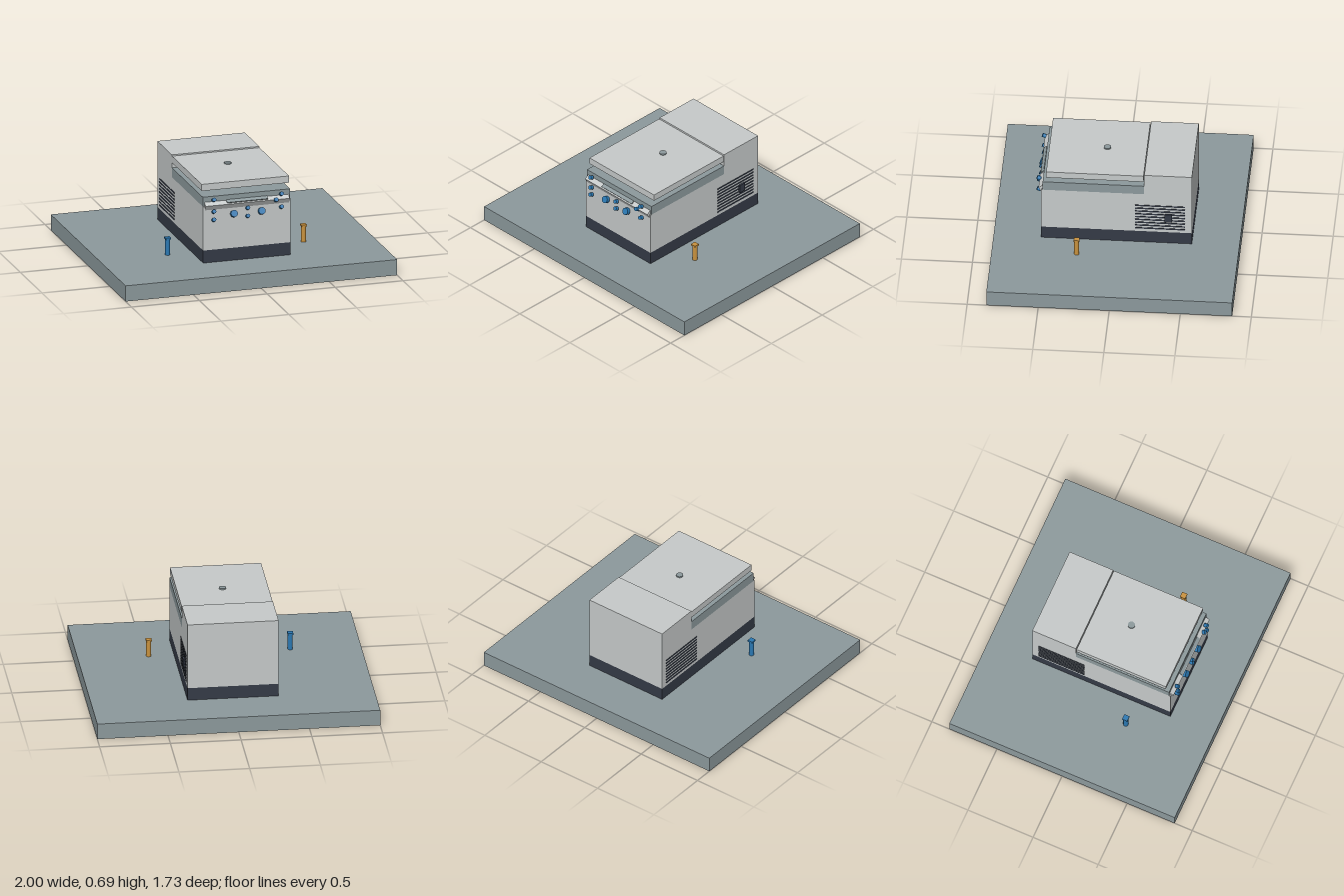
import * as THREE from 'three';

const mat = (name, color, side = THREE.FrontSide) => {
  const m = new THREE.MeshStandardMaterial({ color, side });
  m.name = name;
  return m;
};

export function createModel() {
  const model = new THREE.Group();
  model.name = 'benchInstrument';
  const light = mat('lightGrey', 0xc6caca);
  const slate = mat('slateGrey', 0x8c999c);
  const dark = mat('charcoal', 0x343a46);
  const blue = mat('blue', 0x2a78b2);
  const amber = mat('amber', 0xc9923e);

  const add = (name, geo, material, x = 0, y = 0, z = 0, parent = model) => {
    const mesh = new THREE.Mesh(geo, material);
    mesh.name = name;
    mesh.position.set(x, y, z);
    parent.add(mesh);
    return mesh;
  };
  // Box given by its limits on each axis
  const block = (name, material, [x0, x1], [y0, y1], [z0, z1], parent) =>
    add(name, new THREE.BoxGeometry(x1 - x0, y1 - y0, z1 - z0), material,
      (x0 + x1) / 2, (y0 + y1) / 2, (z0 + z1) / 2, parent);

  // Bench and housing
  const W = [-0.322, 0.322];
  block('benchTop', slate, [-1, 1], [0, 0.115], [-0.865, 0.865]);
  block('plinth', dark, W, [0.115, 0.207], [-0.53, 0.53]);
  block('housing', light, W, [0.207, 0.528], [-0.195, 0.53]);
  block('rearTower', light, W, [0.207, 0.692], [-0.53, -0.195]);
  block('chamberRim', slate, W, [0.528, 0.597], [-0.195, 0.52]);
  block('lid', light, W, [0.635, 0.684], [-0.19, 0.495]);
  add('lidButton', new THREE.CylinderGeometry(0.025, 0.025, 0.01, 24), slate, 0, 0.688, 0.088);
  add('rotorHub', new THREE.CylinderGeometry(0.028, 0.028, 0.034, 24), amber, 0, 0.613, 0.058);

  // Sloping console ledge: profile (z, y) extruded across the front
  const profile = new THREE.Shape([
    [0.515, 0.562], [0.515, 0.5], [0.529, 0.5], [0.55, 0.537],
  ].map(([z, y]) => new THREE.Vector2(-z, y)));
  const ledge = new THREE.ExtrudeGeometry(profile, { depth: 0.62, bevelEnabled: false });
  ledge.translate(0, 0, -0.31).rotateY(Math.PI / 2);
  add('consoleLedge', ledge, light);
  const display = add('display', new THREE.BoxGeometry(0.3, 0.008, 0.026), slate, 0, 0.554, 0.534);
  display.rotation.x = Math.atan2(0.025, 0.035);

  // Control knobs, tipped upward
  const knobs = new THREE.Group();
  knobs.name = 'controlKnobs';
  model.add(knobs);
  for (const [x, y, r] of [
    [-0.25, 0.58, 0.014], [-0.25, 0.494, 0.014], [-0.25, 0.434, 0.014],
    [-0.102, 0.465, 0.025], [0.102, 0.465, 0.025],
    [0, 0.497, 0.014], [0, 0.438, 0.014],
    [0.208, 0.537, 0.015], [0.248, 0.577, 0.014], [0.248, 0.482, 0.014],
  ]) {
    const knob = add('knob', new THREE.CylinderGeometry(r, r, 0.026, 20), blue, x, y, 0.552, knobs);
    knob.rotation.x = Math.PI / 2 - 0.42;
  }

  // Cooling slots on both sides
  const vents = new THREE.Group();
  vents.name = 'coolingVents';
  model.add(vents);
  for (const s of [-1, 1])
    for (let i = 0; i < 9; i++)
      add('ventSlot', new THREE.BoxGeometry(0.006, 0.01, 0.352), dark,
        s * 0.322, 0.235 + i * 0.0243, -0.307, vents);
  block('powerSwitch', dark, [0.318, 0.335], [0.302, 0.366], [-0.39, -0.34]);

  // Sample tubes standing on the bench
  for (const [side, material, name] of [[-1, blue, 'blueTube'], [1, amber, 'amberTube']]) {
    const tube = new THREE.Group();
    tube.name = name;
    tube.position.set(side * 0.5, 0.115, 0.267);
    model.add(tube);
    add('tubeBody', new THREE.CylinderGeometry(0.018, 0.018, 0.118, 20), material, 0, 0.059, 0, tube);
    add('tubeCap', new THREE.BoxGeometry(0.04, 0.012, 0.04), material, 0, 0.122, 0, tube);
  }
  return model;
}
